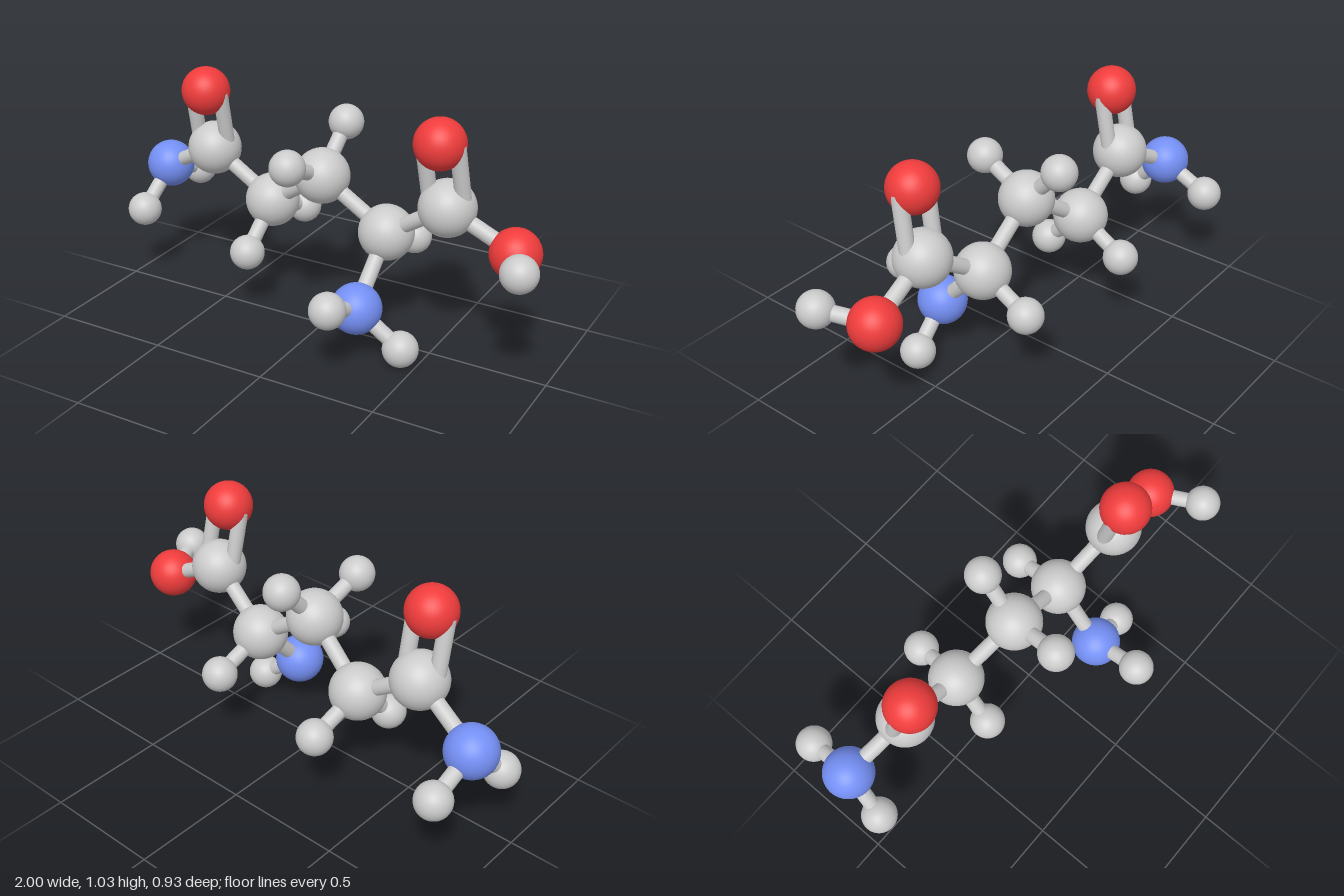
import * as THREE from 'three';

const BOND_RADIUS = 0.032;
const DOUBLE_OFFSET = 0.072;

// Element styles: ball radius and colour
const ELEMENTS = {
  carbon: { radius: 0.116, color: 0xcccccc },
  hydrogen: { radius: 0.074, color: 0xcccccc },
  oxygen: { radius: 0.103, color: 0xf03c3c },
  nitrogen: { radius: 0.105, color: 0x7590f5 },
};

// Atom: element, x, y, z
const ATOMS = {
  amideN: ['nitrogen', -0.895, 0.505, -0.175],
  amideC: ['carbon', -0.607, 0.655, -0.115],
  amideO: ['oxygen', -0.604, 0.928, -0.06],
  chainC1: ['carbon', -0.318, 0.468, -0.12],
  chainC2: ['carbon', -0.032, 0.66, -0.05],
  chainC3: ['carbon', 0.262, 0.468, -0.06],
  acidC: ['carbon', 0.548, 0.657, -0.008],
  acidO: ['oxygen', 0.529, 0.933, 0.044],
  hydroxylO: ['oxygen', 0.831, 0.522, -0.022],
  amineN: ['nitrogen', 0.25, 0.222, 0.17],
  amideH1: ['hydrogen', -0.928, 0.334, -0.007],
  amideH2: ['hydrogen', -0.89, 0.409, -0.391],
  chainH1: ['hydrogen', -0.338, 0.284, 0.058],
  chainH2: ['hydrogen', -0.292, 0.36, -0.347],
  chainH3: ['hydrogen', -0.056, 0.767, 0.184],
  chainH4: ['hydrogen', -0.015, 0.844, -0.222],
  chainH5: ['hydrogen', 0.281, 0.363, -0.29],
  amineH1: ['hydrogen', 0.438, 0.077, 0.146],
  amineH2: ['hydrogen', 0.242, 0.312, 0.391],
  hydroxylH: ['hydrogen', 0.924, 0.549, 0.184],
};

const SINGLE_BONDS = [
  ['amideN', 'amideC'], ['amideC', 'chainC1'], ['chainC1', 'chainC2'],
  ['chainC2', 'chainC3'], ['chainC3', 'acidC'], ['acidC', 'hydroxylO'],
  ['chainC3', 'amineN'], ['amideN', 'amideH1'], ['amideN', 'amideH2'],
  ['chainC1', 'chainH1'], ['chainC1', 'chainH2'], ['chainC2', 'chainH3'],
  ['chainC2', 'chainH4'], ['chainC3', 'chainH5'], ['amineN', 'amineH1'],
  ['amineN', 'amineH2'], ['hydroxylO', 'hydroxylH'],
];
const DOUBLE_BONDS = [['amideC', 'amideO'], ['acidC', 'acidO']];

const position = (name) => new THREE.Vector3(...ATOMS[name].slice(1));

// Rod running between two points
function makeRod(a, b, material, name) {
  const dir = b.clone().sub(a);
  const rod = new THREE.Mesh(
    new THREE.CylinderGeometry(BOND_RADIUS, BOND_RADIUS, dir.length(), 24), material);
  rod.position.copy(a).add(b).multiplyScalar(0.5);
  rod.quaternion.setFromUnitVectors(new THREE.Vector3(0, 1, 0), dir.normalize());
  rod.name = name;
  return rod;
}

export function createModel() {
  const model = new THREE.Group();
  model.name = 'ballAndStickMolecule';

  // One shared ball shape and material per element
  const styles = {};
  for (const [element, { radius, color }] of Object.entries(ELEMENTS)) {
    styles[element] = {
      geometry: new THREE.SphereGeometry(radius, 40, 24),
      material: new THREE.MeshStandardMaterial({ color }),
    };
  }
  const bondMaterial = new THREE.MeshStandardMaterial({ color: 0xcccccc });

  // Atoms
  const atoms = new THREE.Group();
  atoms.name = 'atoms';
  for (const [name, [element]] of Object.entries(ATOMS)) {
    const { geometry, material } = styles[element];
    const ball = new THREE.Mesh(geometry, material);
    ball.position.copy(position(name));
    ball.name = name;
    atoms.add(ball);
  }

  // Single bonds
  const bonds = new THREE.Group();
  bonds.name = 'bonds';
  for (const [from, to] of SINGLE_BONDS) {
    bonds.add(makeRod(position(from), position(to), bondMaterial, 'singleBond'));
  }

  // Double bonds: two parallel rods set apart sideways
  for (const [from, to] of DOUBLE_BONDS) {
    const a = position(from), b = position(to);
    const dir = b.clone().sub(a).normalize();
    const side = new THREE.Vector3(1, 0, 0).projectOnPlane(dir).setLength(DOUBLE_OFFSET);
    for (const s of [-1, 1]) {
      bonds.add(makeRod(a.clone().addScaledVector(side, s),
        b.clone().addScaledVector(side, s), bondMaterial, 'doubleBondRod'));
    }
  }

  model.add(atoms, bonds);
  return model;
}
